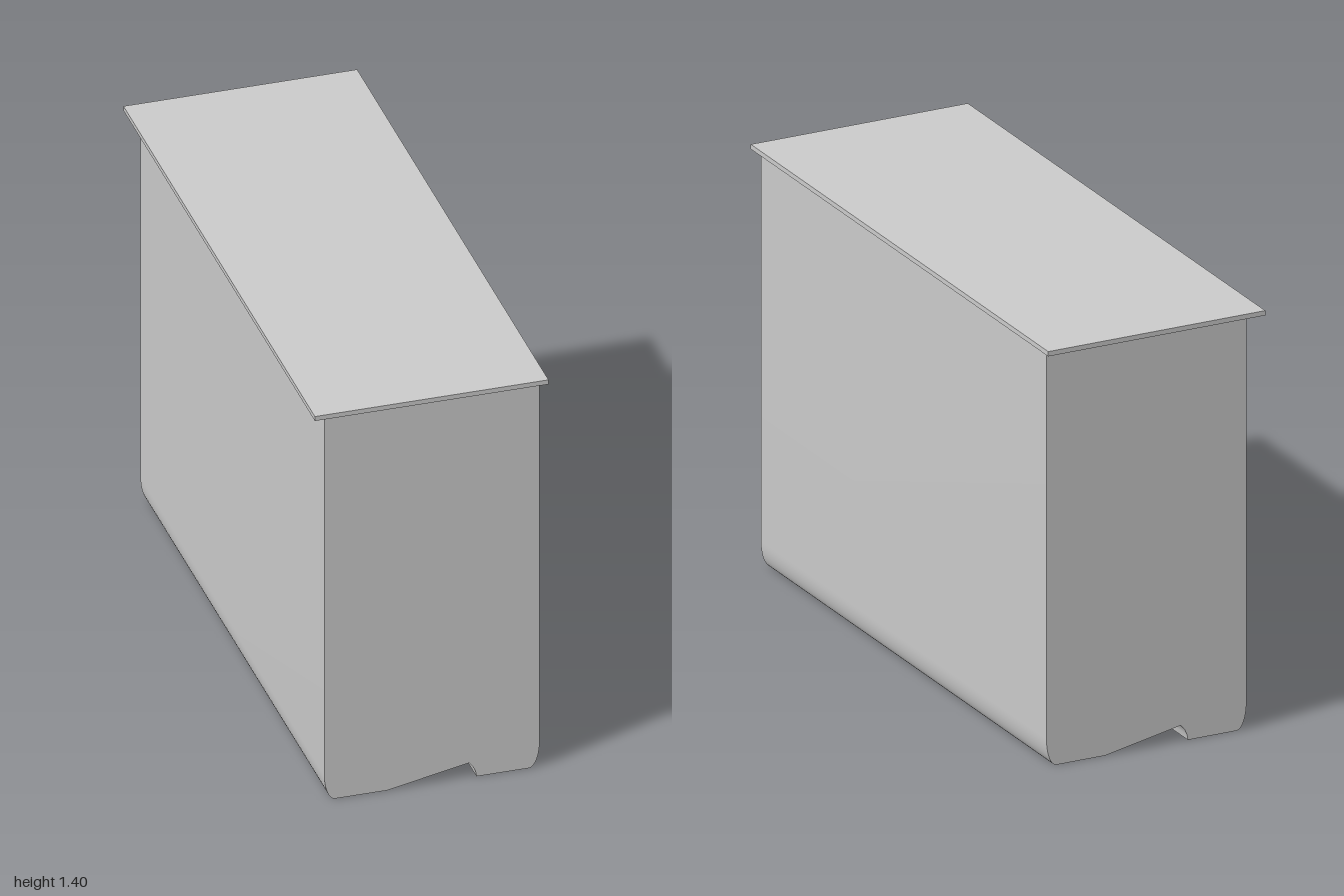
import * as THREE from 'three';
import { toCreasedNormals } from 'three/addons/utils/BufferGeometryUtils.js';

const LEFT = -0.34, RIGHT = 0.36, CENTRE = 0.01, TOP = 1.375;
const BACK = -0.95, FRONT = 0.97;
const CORNER_X = 0.035, CORNER_Y = 0.09;
const ARCH_X = 0.145, ARCH_Y = 0.095;

// Points along an elliptical arc, angles in quarter turns
function arc(cx, cy, rx, ry, from, to, steps) {
  return Array.from({ length: steps + 1 }, (_, i) => {
    const a = (from + ((to - from) * i) / steps) * Math.PI / 2;
    return new THREE.Vector2(cx + rx * Math.cos(a), cy + ry * Math.sin(a));
  });
}

export function createModel() {
  const model = new THREE.Group();
  const material = new THREE.MeshStandardMaterial({ color: 0xcccccc, side: THREE.DoubleSide });
  const add = (name, geometry, x, y, z) => {
    const mesh = new THREE.Mesh(geometry, material);
    mesh.name = name;
    mesh.position.set(x, y, z);
    model.add(mesh);
  };

  // Body: tall box with rounded lower edges and an arched channel underneath
  const arch = arc(CENTRE, 0, ARCH_X, ARCH_Y, 0, 2, 16);
  const outline = [
    new THREE.Vector2(RIGHT, TOP),
    new THREE.Vector2(LEFT, TOP),
    ...arc(LEFT + CORNER_X, CORNER_Y, CORNER_X, CORNER_Y, 2, 3, 10),
    ...[...arch].reverse(),
    ...arc(RIGHT - CORNER_X, CORNER_Y, CORNER_X, CORNER_Y, 3, 4, 10),
  ];
  const body = new THREE.ExtrudeGeometry(new THREE.Shape(outline), {
    depth: FRONT - BACK, bevelEnabled: false,
  });
  add('body', toCreasedNormals(body, Math.PI / 6), 0, 0, BACK);

  // Slanted end plates that close the upper part of the channel
  const plate = (points) => new THREE.ShapeGeometry(new THREE.Shape(points));
  add('frontChannelPlate', plate(arch.slice(3)), 0, 0, FRONT);
  const backPlate = plate(arch.slice(0, 14));
  // Turn the back plate's faces outward
  backPlate.index.array.reverse();
  backPlate.computeVertexNormals();
  add('backChannelPlate', backPlate, 0, 0, BACK);

  // Lid: thin overhanging sheet just above the body
  add('lid', new THREE.BoxGeometry(0.76, 0.016, 2), 0, 1.396, 0);

  return model;
}
